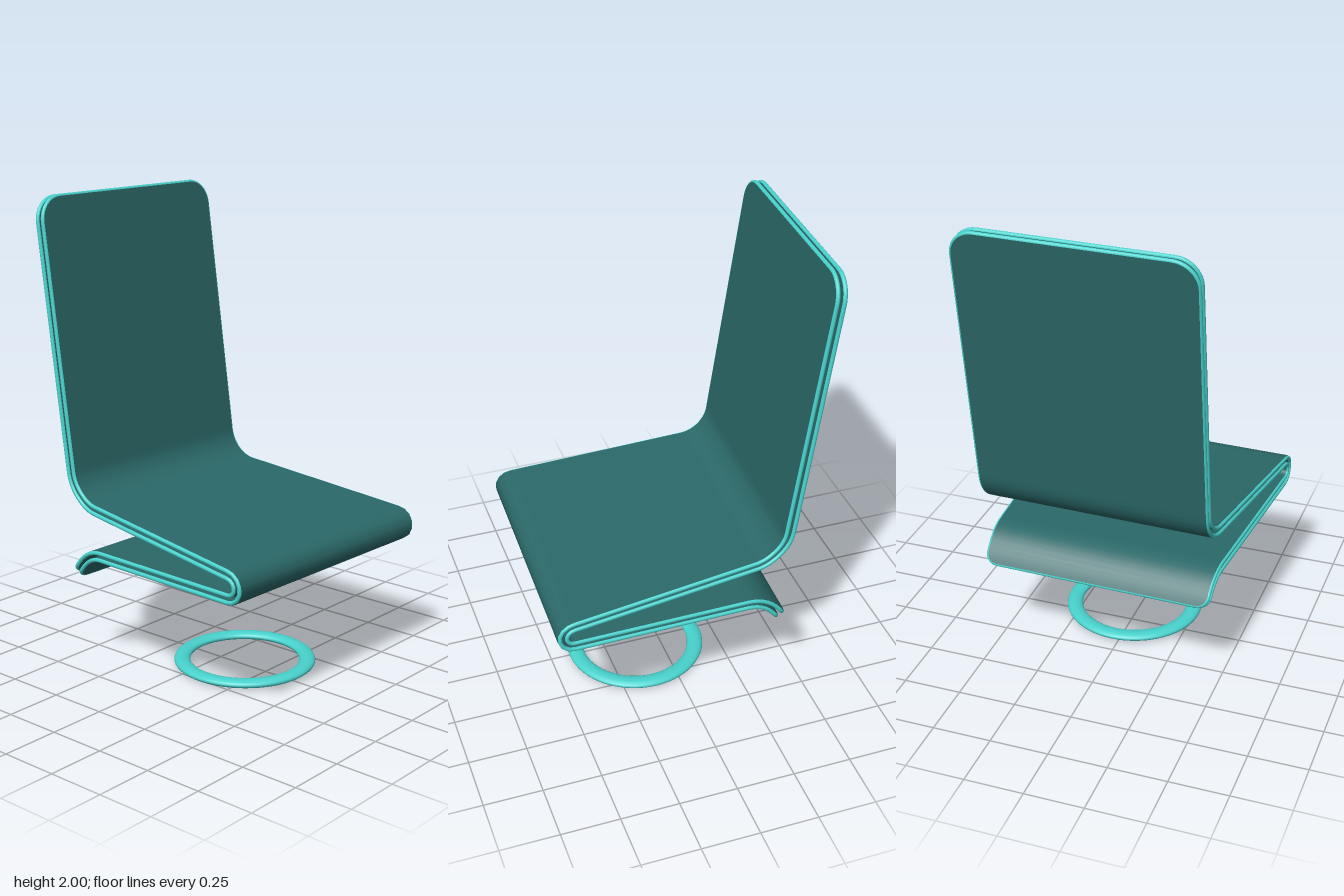
import * as THREE from 'three';

const TURQUOISE = 0x48d1cc;
const DARK_TEAL = 0x2b6868;
const RIM = 0.009; // half thickness of one sheet
const GAP = 0.015; // offset of each sheet from the shared centre line

// Side profile as (z, y): down the back, along the seat, round the front, back underneath
function makeProfile() {
  const v = (z, y) => new THREE.Vector2(z, y);
  const path = new THREE.CurvePath();
  const top = v(-0.571, 1.988), corner = v(-0.391, 0.736), front = v(0.522, 0.645);
  const under = v(0.522, 0.548), tail = v(-0.234, 0.528);
  const a = corner.clone().add(top.clone().sub(corner).setLength(0.125));
  const b = corner.clone().add(front.clone().sub(corner).setLength(0.125));
  path.add(new THREE.LineCurve(top, a));
  path.add(new THREE.CubicBezierCurve(a, a.clone().lerp(corner, 0.55), b.clone().lerp(corner, 0.55), b));
  path.add(new THREE.LineCurve(b, front));
  path.add(new THREE.CubicBezierCurve(front, v(0.586, 0.639), v(0.586, 0.55), under));
  path.add(new THREE.LineCurve(under, tail));
  path.add(new THREE.CubicBezierCurve(tail, v(-0.3, 0.526), v(-0.35, 0.49), v(-0.39, 0.42)));
  return path;
}

// Indexed surface from rows of points
function surface(rows, closed = false) {
  const n = rows[0].length, index = [];
  for (let i = 0; i < rows.length - (closed ? 0 : 1); i++) {
    const k = (i + 1) % rows.length;
    for (let j = 0; j < n - 1; j++) {
      const a = i * n + j, b = k * n + j;
      index.push(a, a + 1, b, a + 1, b + 1, b);
    }
  }
  const geo = new THREE.BufferGeometry().setFromPoints(rows.flat());
  geo.setIndex(index);
  geo.computeVertexNormals();
  return geo;
}

function mesh(name, geo, color) {
  const m = new THREE.Mesh(geo, new THREE.MeshStandardMaterial({ color, side: THREE.DoubleSide }));
  m.name = name;
  return m;
}

// Stations along the profile, packed closely in the rounded corners
function makeStations() {
  const path = makeProfile(), length = path.getLength();
  const rTop = 0.1, rTail = 0.045, s = [];
  for (let i = 0; i < 10; i++) s.push(rTop * (1 - Math.cos(i / 10 * Math.PI / 2)));
  for (let i = 0; i <= 140; i++) s.push(rTop + (length - rTop - rTail) * i / 140);
  for (let i = 9; i >= 0; i--) s.push(length - rTail * (1 - Math.cos(i / 10 * Math.PI / 2)));
  const inset = (d, r) => (d >= r ? 0 : r - Math.sqrt(Math.max(0, r * r - (r - d) ** 2)));
  return s.map((d) => {
    const p = path.getPoint(d / length), t = path.getTangent(d / length);
    const flare = 0.06 * THREE.MathUtils.clamp((p.x + 0.35) / 0.9, 0, 1);
    return {
      point: new THREE.Vector3(0, p.y, p.x),
      normal: new THREE.Vector3(0, t.x, -t.y),
      half: 0.5 + flare - RIM - inset(d, rTop) - inset(length - d, rTail),
    };
  });
}

// One bent sheet: two dark faces and a half-round bright rim
function makeSheet(name, stations, offset) {
  const at = (st, side, off) =>
    st.point.clone().addScaledVector(st.normal, off).setX(side * st.half);
  const sheet = new THREE.Group();
  sheet.name = name;
  for (const dir of [1, -1]) {
    const rows = stations.map((st) => [dir, -dir].map((x) => at(st, x, offset + dir * RIM)));
    sheet.add(mesh(dir > 0 ? 'outerFace' : 'innerFace', surface(rows), DARK_TEAL));
  }
  const loop = [
    ...stations.map((st) => ({ p: at(st, 1, offset), n: st.normal })),
    ...stations.map((st) => ({ p: at(st, -1, offset), n: st.normal })).reverse(),
  ];
  const rows = loop.map(({ p, n }, i) => {
    const next = loop[(i + 1) % loop.length].p;
    const prev = loop[(i + loop.length - 1) % loop.length].p;
    const out = n.clone().cross(next.clone().sub(prev)).normalize();
    return Array.from({ length: 9 }, (_, j) => {
      const phi = (j / 8 - 0.5) * Math.PI;
      return p.clone().addScaledVector(out, RIM * Math.cos(phi)).addScaledVector(n, RIM * Math.sin(phi));
    });
  });
  sheet.add(mesh('rim', surface(rows, true), TURQUOISE));
  return sheet;
}

export function createModel() {
  const model = new THREE.Group();
  model.name = 'foldedChair';

  // Folded seat of two parallel sheets, turned very slightly
  const seat = new THREE.Group();
  seat.name = 'foldedSeat';
  const stations = makeStations();
  seat.add(makeSheet('outerSheet', stations, GAP), makeSheet('innerSheet', stations, -GAP));
  seat.rotation.y = -0.027;
  seat.position.x = 0.013;
  model.add(seat);

  // Flattened floor ring
  const ringGeo = new THREE.TorusGeometry(0.27, 0.035, 16, 64);
  ringGeo.rotateX(Math.PI / 2);
  ringGeo.scale(1, 0.5, 1);
  const ring = mesh('baseRing', ringGeo, TURQUOISE);
  ring.position.set(0.025, 0.0185, 0.115);
  model.add(ring);

  return model;
}
